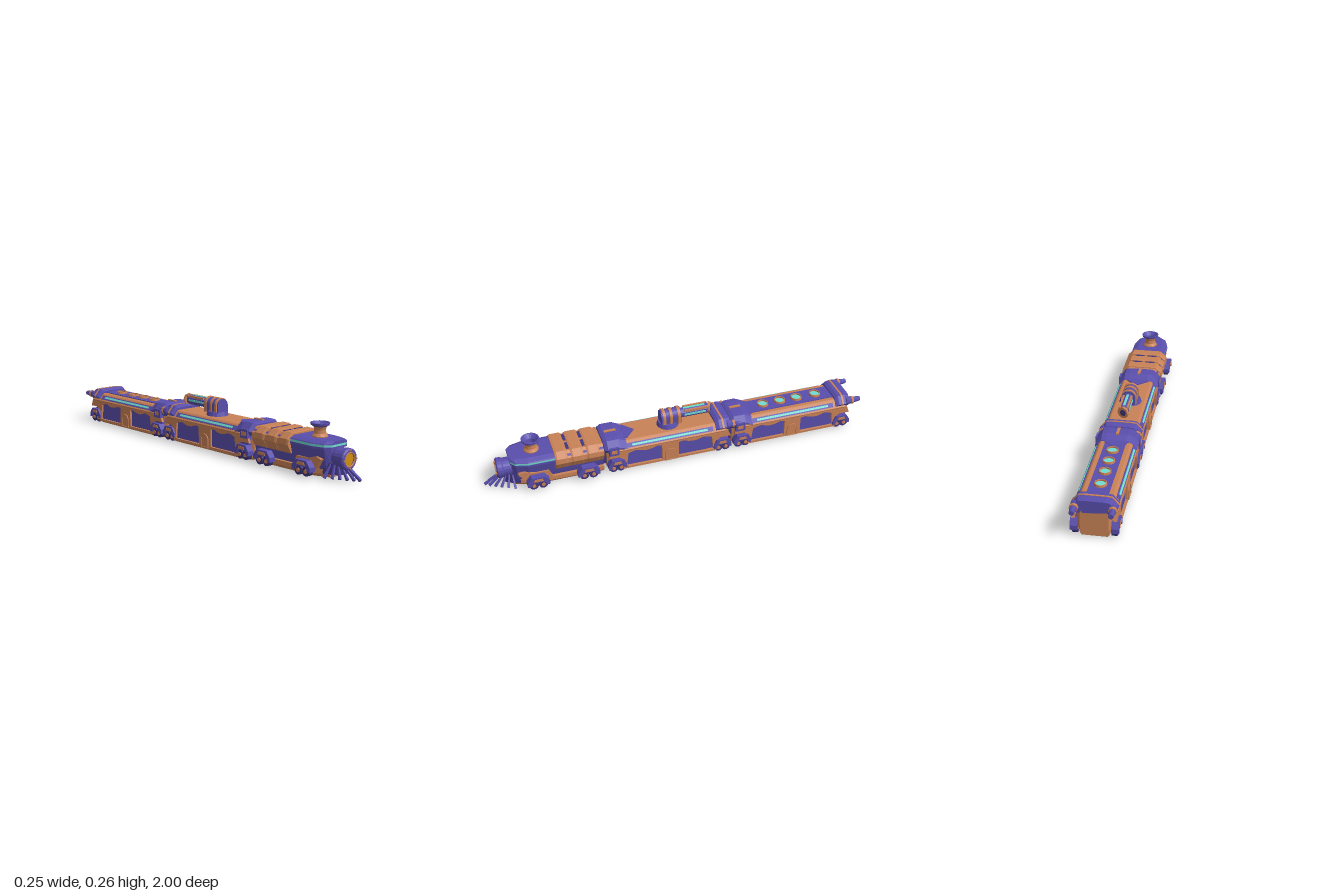
import * as THREE from 'three';

const mat = (color) => new THREE.MeshStandardMaterial({ color, flatShading: true, side: THREE.DoubleSide });
const PURPLE = mat(0x594eac), DARK = mat(0x3f367f), ORANGE = mat(0xc98257), CYAN = mat(0x70dccf), YELLOW = mat(0xcf8f10);

function add(parent, name, geometry, material, x = 0, y = 0, z = 0) {
  const m = new THREE.Mesh(geometry, material);
  m.name = name;
  m.position.set(x, y, z);
  parent.add(m);
  return m;
}
const box = (w, h, d) => new THREE.BoxGeometry(w, h, d);

// Hull from a half profile [x, y] (bottom to top), mirrored, lofted through stations [z, scaleX, scaleY], z rising
function loft(half, stations) {
  const prof = [...half, ...half.map(([x, y]) => [-x, y]).reverse()];
  const n = prof.length, pos = [], idx = [];
  for (const [z, sx = 1, sy = 1] of stations) for (const [x, y] of prof) pos.push(x * sx, y * sy, z);
  const last = (stations.length - 1) * n;
  for (let s = 0; s < last; s += n) for (let i = 0; i < n; i++) {
    const j = (i + 1) % n;
    idx.push(s + i, s + j, s + n + j, s + i, s + n + j, s + n + i);
  }
  for (let i = 1; i < n - 1; i++) idx.push(0, i + 1, i, last, last + i, last + i + 1);
  const g = new THREE.BufferGeometry();
  g.setAttribute('position', new THREE.Float32BufferAttribute(pos, 3));
  g.setIndex(idx);
  const flat = g.toNonIndexed();
  flat.computeVertexNormals();
  return flat;
}

const poly = (pts) => new THREE.Shape(pts.map(([a, b]) => new THREE.Vector2(a, b)));

// Plate drawn in (z, y), placed on both flanks with its outer face at |x| = outer
function flankPlates(parent, name, shape, depth, outer, material, z = 0) {
  const g = new THREE.ExtrudeGeometry(shape, { depth, bevelEnabled: false, curveSegments: 8 }).rotateY(-Math.PI / 2);
  add(parent, name + 'Left', g, material, outer, 0, z);
  add(parent, name + 'Right', g, material, depth - outer, 0, z);
}

function archShape(w, y0, spring) {
  const s = new THREE.Shape();
  s.moveTo(-w, y0);
  s.lineTo(w, y0);
  s.lineTo(w, spring);
  s.absarc(0, spring, w, 0, Math.PI, false);
  s.closePath();
  return s;
}

// Wheel truck: sloped guards outside, a pair of wheels on each flank
function truck(parent, z, outer, half) {
  const g = new THREE.Group();
  g.name = 'truck';
  g.position.z = z;
  const guard = poly([[-half, .028], [-half, .05], [-half * .6, .078], [half * .6, .078], [half, .05], [half, .028],
    [half * .72, .028], [half * .5, .05], [-half * .5, .05], [-half * .72, .028]]);
  flankPlates(g, 'wheelGuard', guard, .035, outer, PURPLE);
  flankPlates(g, 'guardTrim', poly([[-half * .45, .056], [half * .45, .056], [half * .35, .07], [-half * .35, .07]]), .008, outer + .003, ORANGE);
  const wheel = new THREE.CylinderGeometry(.023, .023, .025, 14).rotateZ(Math.PI / 2);
  const hub = new THREE.CylinderGeometry(.01, .01, .032, 8).rotateZ(Math.PI / 2);
  for (const s of [-1, 1]) for (const dz of [-half * .42, half * .42]) {
    add(g, 'wheel', wheel, DARK, s * (outer - .022), .027, dz);
    add(g, 'wheelHub', hub, ORANGE, s * (outer - .021), .027, dz);
  }
  parent.add(g);
}

function car(name, z, purpleRoof) {
  const g = new THREE.Group();
  g.name = name;
  g.position.z = z;
  add(g, 'carBody', loft([[.08, .015], [.09, .025], [.09, .125], [.06, .16]], [[-.29], [.31]]), PURPLE);
  add(g, 'underframe', loft([[.078, 0], [.088, .012], [.088, .022]], [[-.315, .75], [-.25], [.25], [.315, .75]]), ORANGE);
  add(g, 'roof', loft([[.098, .118], [.103, .13], [.077, .163], [.07, .167]], [[-.3], [.3]]), ORANGE);
  for (const s of [-1, 1])
    add(g, 'endBulkhead', loft([[.07, .012], [.085, .035], [.085, .12], [.06, .15]],
      s > 0 ? [[.25], [.29], [.325, .75]] : [[-.325, .75], [-.29], [-.25]]), ORANGE);

  // Flank frame with two scalloped windows
  const frame = poly([[-.25, .012], [.25, .012], [.24, .07], [.27, .09], [.325, .09], [.31, .128], [-.31, .128], [-.325, .09], [-.27, .09], [-.24, .07]]);
  for (const s of [-1, 1]) {
    const h = new THREE.Path();
    h.moveTo(s * .045, .024);
    h.lineTo(s * .232, .024);
    h.lineTo(s * .222, .105);
    h.splineThru([[.18, .116], [.14, .105], [.1, .107], [.07, .117], [.045, .112]].map(([a, b]) => new THREE.Vector2(s * a, b)));
    h.closePath();
    frame.holes.push(h);
  }
  flankPlates(g, 'flankFrame', frame, .014, .101, ORANGE);
  const door = archShape(.03, .014, .055);
  door.holes.push(archShape(.022, .018, .055));
  flankPlates(g, 'doorArch', door, .01, .106, ORANGE);

  // Light strips along the shoulders, framed by a purple sill
  for (const s of [-1, 1]) {
    const sill = add(g, 'shoulderSill', box(.024, .006, .46), PURPLE, s * .09, .1465, 0);
    const strip = add(g, 'lightStrip', box(.011, .01, .4), CYAN, s * .0905, .147, 0);
    sill.rotation.z = strip.rotation.z = -s * .905;
  }

  // Raised hoods at both ends
  const hood = [[.09, .125], [.106, .15], [.075, .186], [.05, .189]];
  add(g, 'frontHood', loft(hood, [[.225, .97, .9], [.265], [.325], [.342, .9, .96]]), PURPLE);
  const tongue = new THREE.ExtrudeGeometry(poly([[-.055, -.26], [.055, -.26], [.055, -.215], [0, -.165], [-.055, -.215]]), { depth: .01, bevelEnabled: false });
  add(g, 'roofTongue', tongue.rotateX(-Math.PI / 2), PURPLE, 0, .163, 0);
  add(g, 'hoodRidge', box(.014, .008, .06), ORANGE, 0, .19, .29);
  add(g, 'rearHood', loft(hood, [[-.325, .93, .97], [-.3], [-.262], [-.245, .95, .95]]), PURPLE);
  add(g, 'rearHoodBand', loft(hood.map(([x, y]) => [x * 1.02, y * 1.01]), [[-.288], [-.278]]), ORANGE);
  for (const s of [-1, 1]) {
    const pod = new THREE.CylinderGeometry(.012, .021, .08, 8).rotateX(-Math.PI / 2);
    add(g, 'rearPod', pod, PURPLE, s * .086, .154, -.345);
    add(g, 'podBand', new THREE.CylinderGeometry(.02, .021, .012, 8).rotateX(-Math.PI / 2), ORANGE, s * .086, .154, -.34);
    add(g, 'hoodCheek', box(.026, .045, .05), PURPLE, s * .097, .135, .295);
    add(g, 'cheekTrim', box(.012, .02, .03), ORANGE, s * .106, .135, .295);
  }

  if (purpleRoof) {
    add(g, 'roofPanel', box(.1, .008, .5), PURPLE, 0, .167, -.01);
    const ring = new THREE.LatheGeometry([[.025, 0], [.031, 0], [.029, .012], [.025, .012], [.025, 0]].map(([a, b]) => new THREE.Vector2(a, b)), 12);
    for (const dz of [-.163, -.057, .037, .133]) {
      add(g, 'ventRing', ring, ORANGE, 0, .169, dz);
      add(g, 'ventLight', new THREE.CylinderGeometry(.026, .026, .003, 12), CYAN, 0, .172, dz);
    }
  }
  truck(g, .28, .11, .047);
  truck(g, -.28, .11, .047);
  return g;
}

function turret() {
  const g = new THREE.Group();
  g.name = 'turret';
  add(g, 'turretBase', new THREE.CylinderGeometry(.05, .058, .024, 16), PURPLE, 0, .176, .04);
  const arch = (w, d) => new THREE.ExtrudeGeometry(archShape(w, .18, .219), { depth: d, bevelEnabled: false, curveSegments: 8 });
  add(g, 'turretHousing', arch(.034, .105), PURPLE, 0, 0, -.025);
  for (const z of [-.02, .022, .058]) add(g, 'housingBand', arch(.0385, .014), ORANGE, 0, 0, z);
  const tube = (r, l) => new THREE.CylinderGeometry(r, r, l, 8).rotateZ(Math.PI / 8).rotateX(Math.PI / 2);
  add(g, 'barrel', new THREE.CylinderGeometry(.026, .026, .15, 8).rotateY(Math.PI / 8).rotateX(Math.PI / 2), PURPLE, 0, .219, -.1);
  add(g, 'barrelLightTop', box(.012, .006, .115), CYAN, 0, .243, -.1);
  for (const s of [-1, 1]) {
    add(g, 'barrelLightSide', box(.006, .01, .115), CYAN, s * .024, .219, -.1);
    add(g, 'barrelRail', box(.01, .01, .13), ORANGE, s * .02, .238, -.11);
  }
  add(g, 'muzzle', tube(.03, .014), ORANGE, 0, .219, -.183);
  add(g, 'bore', tube(.017, .004), DARK, 0, .219, -.19);
  return g;
}

function locomotive() {
  const g = new THREE.Group();
  g.name = 'locomotive';
  add(g, 'engineBody', loft([[.062, .025], [.072, .06], [.09, .135], [.09, .15]], [[.4], [.78], [.835, .78], [.855, .5]]), PURPLE);
  add(g, 'engineUnderframe', loft([[.07, .004], [.082, .018], [.082, .04]], [[.4], [.76], [.85, .55]]), ORANGE);
  add(g, 'noseLight', loft([[.092, .146], [.092, .157]], [[.64], [.78], [.84, .82], [.862, .55]]), CYAN);
  add(g, 'engineRoof', loft([[.094, .157], [.09, .162], [.066, .172]], [[.4], [.78], [.84, .82], [.865, .52]]), PURPLE);
  add(g, 'browLip', loft([[.095, .138], [.095, .146]], [[.64], [.78], [.84, .82], [.862, .55]]), PURPLE);
  flankPlates(g, 'sweepPanel', poly([[.66, .04], [.8, .04], [.83, .09], [.8, .1], [.75, .085], [.68, .085]]), .02, .084, ORANGE);

  // Armour ribs around the rear of the engine
  const rib = [[.088, .088], [.11, .128], [.107, .155], [.076, .182]];
  for (const z of [.455, .535, .615]) add(g, 'armourRib', loft(rib, [[z - .031, .97, .985], [z - .022], [z + .022], [z + .031, .97, .985]]), ORANGE);
  add(g, 'ribCore', loft(rib.map(([x, y]) => [x * .94, y * .965]), [[.4], [.64]]), ORANGE);
  for (const z of [.495, .575]) for (const s of [-1, 1]) add(g, 'ribSlot', box(.05, .004, .014), DARK, s * .035, .177, z);

  // Flared chimney
  const stack = [[.038, .165], [.038, .176], [.029, .188], [.027, .205], [.032, .222]].map(([a, b]) => new THREE.Vector2(a, b));
  add(g, 'chimney', new THREE.LatheGeometry(stack, 16), ORANGE, 0, 0, .745);
  const rim = [[.032, .22], [.044, .227], [.046, .237], [.04, .238], [.022, .22], [.018, .2], [0, .2]].map(([a, b]) => new THREE.Vector2(a, b));
  add(g, 'chimneyRim', new THREE.LatheGeometry(rim, 16), PURPLE, 0, 0, .745);

  // Headlamp
  const shell = [[.04, 0], [.046, .02], [.046, .05], [.051, .055], [.051, .078], [.044, .084], [.034, .084], [.033, .065]].map(([a, b]) => new THREE.Vector2(a, b));
  add(g, 'lampHousing', new THREE.LatheGeometry(shell, 20).rotateX(Math.PI / 2), PURPLE, 0, .095, .845);
  add(g, 'lampRing', new THREE.TorusGeometry(.033, .004, 6, 20), ORANGE, 0, .095, .927);
  add(g, 'lampLens', new THREE.CylinderGeometry(.032, .032, .008, 20).rotateX(Math.PI / 2), YELLOW, 0, .095, .916);
  for (let i = 0; i < 4; i++) {
    const a = i * Math.PI / 2;
    add(g, 'lampClip', box(.007, .007, .012), ORANGE, Math.cos(a) * .042, .095 + Math.sin(a) * .042, .927);
  }

  // Cowcatcher: bars fanning out to a pointed front
  const up = new THREE.Vector3(0, 1, 0);
  for (let i = -5; i <= 5; i++) {
    const t = i / 5;
    const a = new THREE.Vector3(t * .045, .068, .9 - .045 * t * t);
    const b = new THREE.Vector3(t * .084, .01, .992 - .14 * Math.abs(t) ** 1.2);
    const d = a.clone().sub(b);
    const bar = add(g, 'cowcatcherBar', new THREE.CylinderGeometry(.004, .0085, d.length(), 4).rotateY(Math.PI / 4), PURPLE);
    bar.position.copy(a).add(b).multiplyScalar(.5);
    bar.quaternion.setFromUnitVectors(up, d.normalize());
  }
  add(g, 'cowcatcherMount', loft([[.06, .02], [.055, .07]], [[.82], [.86, .8], [.895, .4]]), DARK);
  truck(g, .74, .12, .056);
  truck(g, .485, .12, .056);
  return g;
}

export function createModel() {
  const train = new THREE.Group();
  train.name = 'train';
  train.add(locomotive(), car('turretCar', .055, false), turret(), car('rearCar', -.615, true));
  // Couplings between the vehicles
  for (const z of [.39, -.28]) add(train, 'coupling', box(.1, .1, .08), DARK, 0, .08, z);
  return train;
}
